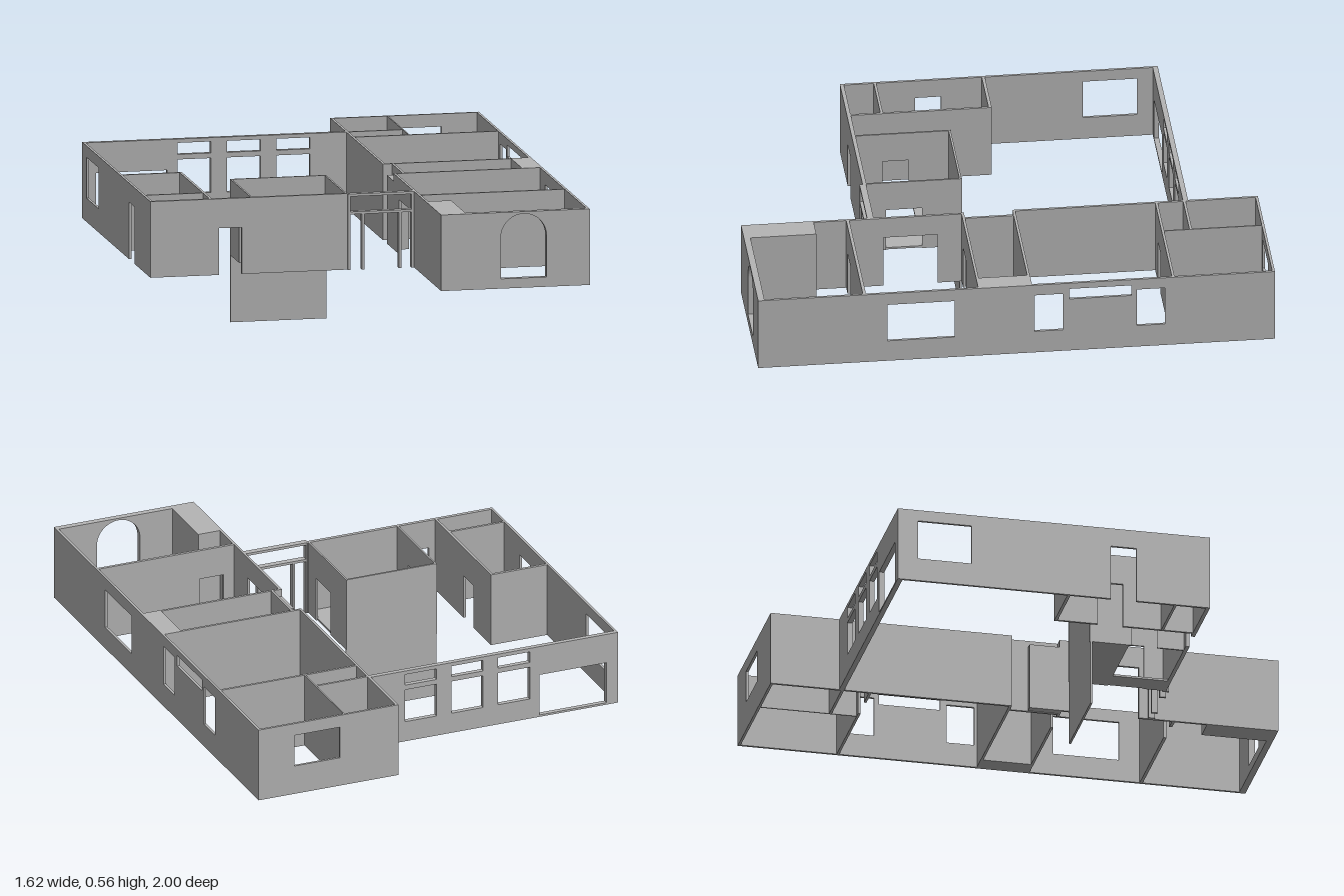
import * as THREE from 'three';

const BASE = 0.262, TOP = 0.56;

// Wall outline: openings [u0, u1, y0, y1]; those reaching the floor become notches
function wallShape(u0, u1, openings) {
  const s = new THREE.Shape();
  s.moveTo(u0, BASE);
  openings.filter(o => o[2] <= BASE).sort((a, b) => a[0] - b[0]).forEach(([a, b, , h]) => {
    s.lineTo(a, BASE); s.lineTo(a, h); s.lineTo(b, h); s.lineTo(b, BASE);
  });
  s.lineTo(u1, BASE); s.lineTo(u1, TOP); s.lineTo(u0, TOP); s.closePath();
  openings.filter(o => o[2] > BASE).forEach(([a, b, y0, y1, arched]) => {
    const h = new THREE.Path();
    h.moveTo(a, y0);
    if (arched) {
      const r = (b - a) / 2;
      h.lineTo(a, y1 - r);
      h.absarc((a + b) / 2, y1 - r, r, Math.PI, 0, true);
      h.lineTo(b, y0);
    } else {
      h.lineTo(a, y1); h.lineTo(b, y1); h.lineTo(b, y0);
    }
    h.closePath();
    s.holes.push(h);
  });
  return s;
}

export function createModel() {
  const model = new THREE.Group();
  model.name = 'housePlan';
  const grey = new THREE.MeshStandardMaterial({ color: 0xb4b4b4 });
  grey.name = 'wallGrey';

  const add = (name, geo) => {
    const m = new THREE.Mesh(geo, grey);
    m.name = name;
    model.add(m);
  };
  const extrude = (u0, u1, t, openings) => new THREE.ExtrudeGeometry(
    wallShape(u0, u1, openings), { depth: t, bevelEnabled: false, curveSegments: 16 });
  // Wall running along x, filling z .. z + t
  const wallX = (name, x0, x1, z, t = 0.01, openings = []) =>
    add(name, extrude(x0, x1, t, openings).translate(0, 0, z));
  // Wall running along z, filling x .. x + t
  const wallZ = (name, z0, z1, x, t = 0.01, openings = []) =>
    add(name, extrude(z0, z1, t, openings).rotateY(-Math.PI / 2).translate(x + t, 0, 0));
  const block = (name, x0, x1, y0, y1, z0, z1) =>
    add(name, new THREE.BoxGeometry(x1 - x0, y1 - y0, z1 - z0)
      .translate((x0 + x1) / 2, (y0 + y1) / 2, (z0 + z1) / 2));
  const door = (a, b, h = 0.44) => [a, b, BASE, h];

  // Main hall: back wall with a wide opening and three windows with transoms
  const backOpenings = [[-0.76, -0.48, 0.27, 0.44]];
  for (let i = 0; i < 3; i++) {
    const a = -0.44 + i * 0.195, b = a + 0.132;
    backOpenings.push([a, b, 0.345, 0.48], [a, b, 0.5, 0.545]);
  }
  wallX('hallBackWall', -0.81, 0.23, -0.73, 0.02, backOpenings);
  wallZ('hallOuterWall', -0.73, 0.5, -0.81, 0.01,
    [[-0.65, -0.44, 0.355, 0.515], door(0.11, 0.21, 0.485)]);
  wallX('hallFrontWall', -0.81, -0.03, 0.485, 0.015, [door(-0.54, -0.45, 0.445)]);

  // Glazed entrance frame with side lights and transom
  wallX('entranceFrame', -0.035, 0.225, 0.487, 0.025, [
    door(-0.025, 0.02, 0.48), door(0.03, 0.165, 0.48), door(0.175, 0.215, 0.48),
    [-0.025, 0.215, 0.49, 0.55]]);

  // Small side rooms
  wallZ('sideRoomWall', -0.06, 0.49, -0.575, 0.01, [door(0.11, 0.21)]);
  wallX('sideRoomBackWall', -0.81, -0.565, -0.06, 0.012);
  wallX('sideRoomDivider', -0.81, -0.565, 0.36, 0.01);

  // Stair room: walls, L-shaped landing and the tall panel reaching the ground
  wallZ('stairRoomLeftWall', 0.115, 0.49, -0.413, 0.007, [door(0.28, 0.38)]);
  wallZ('stairRoomRightWall', 0.115, 0.49, -0.042, 0.007, [door(0.27, 0.41)]);
  block('stairPanel', -0.413, -0.035, 0, TOP, 0.117, 0.125);
  block('landingBack', -0.41, -0.04, BASE, BASE + 0.008, 0.12, 0.27);
  block('landingSide', -0.125, -0.04, BASE, BASE + 0.008, 0.27, 0.49);

  // Long wing: outer walls
  wallZ('wingOuterWall', -1, 1, 0.8, 0.01, [
    [0.24, 0.5, 0.35, 0.51], [-0.18, -0.07, 0.355, 0.515],
    [-0.445, -0.205, 0.49, 0.535], [-0.575, -0.465, 0.355, 0.515]]);
  wallX('wingBackWall', 0.225, 0.805, -1, 0.01, [[0.47, 0.66, 0.38, 0.51]]);
  wallX('wingFrontWall', 0.225, 0.805, 0.975, 0.025, [[0.46, 0.64, 0.3, 0.552, true]]);
  wallZ('wingInnerWallBack', -1, -0.05, 0.225);
  wallZ('wingInnerWallFront', 0.14, 0.73, 0.225, 0.01, [door(0.24, 0.45, 0.475)]);

  // Long wing: cross walls and small partitions
  wallX('backRoomWall', 0.225, 0.805, -0.612, 0.01, [door(0.32, 0.42)]);
  wallX('passageBackWall', 0.225, 0.805, -0.06);
  wallX('passageFrontWall', 0.225, 0.805, 0.138, 0.01, [door(0.285, 0.385)]);
  wallX('frontRoomWall', 0.225, 0.805, 0.582, 0.012, [door(0.28, 0.38)]);
  wallZ('backPartition', -1, -0.61, 0.447, 0.005);
  wallX('backDivider', 0.225, 0.45, -0.72);
  wallZ('passageEndWall', -0.055, 0.14, 0.26);

  // Solid masonry blocks
  block('passageOuterBlock', 0.73, 0.805, BASE, TOP, -0.055, 0.14);
  block('passageInnerBlock', 0.225, 0.255, BASE, 0.53, 0.02, 0.14);
  block('frontCornerBlock', 0.225, 0.325, BASE, TOP, 0.72, 0.995);

  return model;
}
